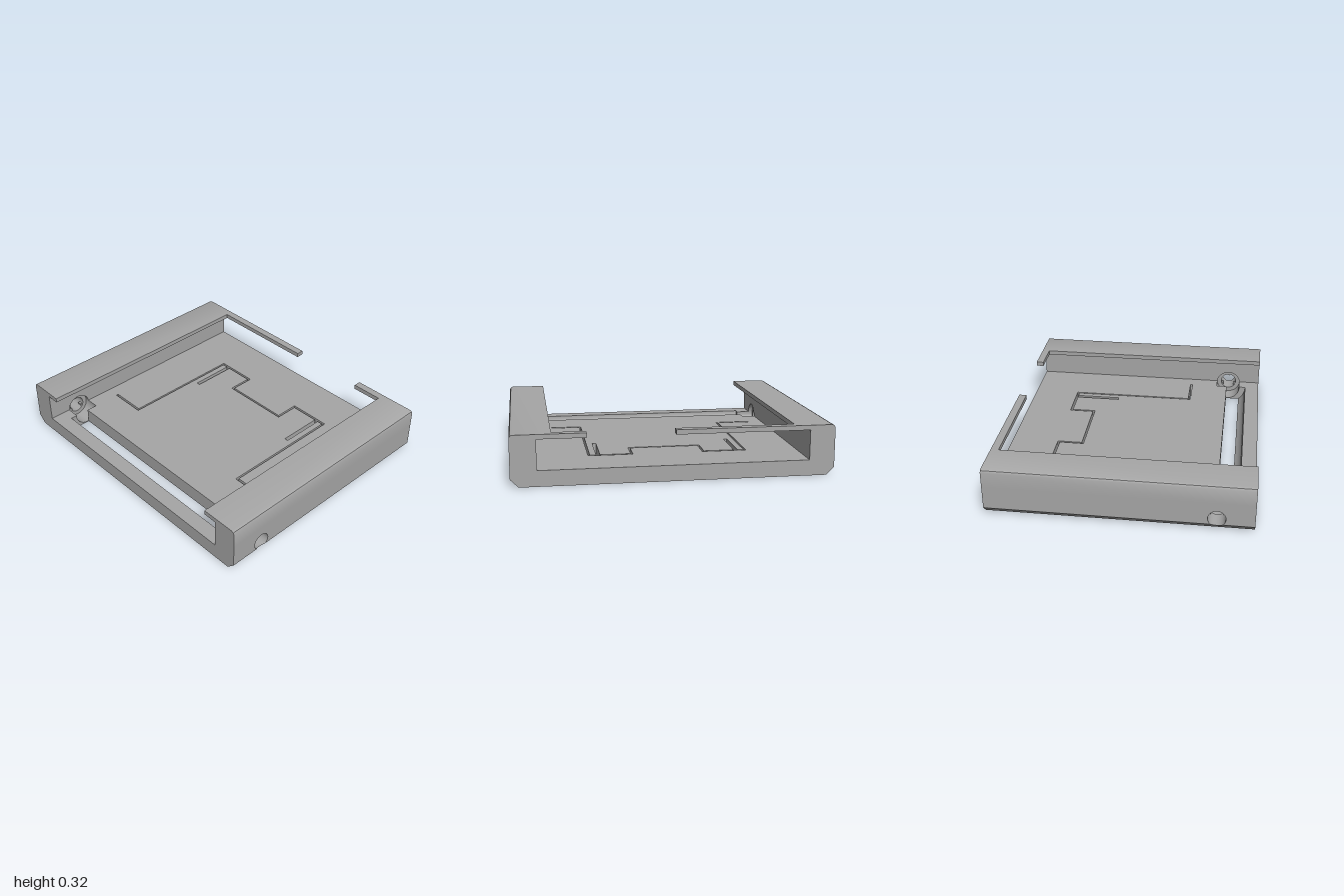
import * as THREE from 'three';
import { toCreasedNormals } from 'three/addons/utils/BufferGeometryUtils.js';

const HALF = 0.83;            // half depth of the tray
const PZ = 0.6, PY = 0.09;    // pivot hole centre

const toShape = pts => new THREE.Shape(pts.map(p => new THREE.Vector2(p[0], p[1])));
const extrude = (shape, depth) => new THREE.ExtrudeGeometry(shape, { depth, bevelEnabled: false, curveSegments: 8 });

// profile given as (z, y), extruded from x0 to x1
function alongX(pts, x0, x1) {
  return extrude(toShape(pts.map(([z, y]) => [-z, y])), x1 - x0).rotateY(Math.PI / 2).translate(x0, 0, 0);
}

// plan given as (x, z), extruded from y0 to y1
function slab(pts, y0, y1) {
  return extrude(toShape(pts.map(([x, z]) => [x, -z])), y1 - y0).rotateX(-Math.PI / 2).translate(0, y0, 0);
}

// copy reflected in x with the winding kept outward
function mirrorX(geo) {
  const g = geo.clone().toNonIndexed();
  const p = g.attributes.position;
  for (let i = 0; i < p.count; i += 3) {
    const v = [0, 2, 1].map(k => new THREE.Vector3().fromBufferAttribute(p, i + k));
    v.forEach((a, k) => p.setXYZ(i + k, -a.x, a.y, a.z));
  }
  g.computeVertexNormals();
  return g;
}

// two halves of a wall layer, cut by the pivot hole of radius r
function holedLayer(y0, y1, r, x0, x1) {
  const ys = [y1];
  for (let i = 0; i <= 24; i++) {
    const y = PY + r * Math.sin(Math.PI / 2 - (i / 24) * Math.PI);
    if (y < y1 - 1e-4 && y > y0 + 1e-4) ys.push(y);
  }
  ys.push(y0);
  const halfWidth = y => Math.sqrt(Math.max(0, r * r - (y - PY) ** 2));
  return [-1, 1].map(s => alongX(
    [[s * HALF, y0], [s * HALF, y1], ...ys.map(y => [PZ + s * halfWidth(y), y])], x0, x1));
}

export function createModel() {
  const group = new THREE.Group();
  const grey = new THREE.MeshStandardMaterial({ color: 0xa6a6a6 });
  grey.name = 'grey plastic';

  const add = (name, geo) => {
    const mesh = new THREE.Mesh(toCreasedNormals(geo, 0.5), grey);
    mesh.name = name;
    group.add(mesh);
  };
  const addPair = (name, geo) => {
    add(name + 'Left', geo);
    add(name + 'Right', mirrorX(geo));
  };

  // upper side rails with the overhanging lip and eased outer edge
  const rail = toShape([[0.84, 0.2], [1, 0.2], [1, 0.3], [0.994, 0.314], [0.98, 0.32],
    [0.75, 0.32], [0.75, 0.29], [0.84, 0.29]]);
  addPair('sideRail', extrude(rail, 2 * HALF).translate(0, 0, -HALF));

  // side walls with the pivot hole and its wider inner recess
  const R = 0.055, WIDE = 0.085, STEP = 0.87;
  const layers = [
    ...holedLayer(0.1, 0.2, WIDE, 0.84, STEP), ...holedLayer(0.1, 0.2, R, STEP, 1),
    ...holedLayer(0.05, 0.1, WIDE, 0.75, STEP), ...holedLayer(0.05, 0.1, R, STEP, 1),
    ...holedLayer(0, 0.05, WIDE, 0.75, STEP),
  ];
  layers.forEach(g => addPair('sideWall', g));

  // chamfered bottom edge
  holedLayer(0, 0.05, R, STEP, 1).forEach(g => {
    const p = g.attributes.position;
    for (let i = 0; i < p.count; i++) if (p.getX(i) > 0.99) p.setX(i, 0.95 + p.getY(i));
    g.computeVertexNormals();
    addPair('chamferedEdge', g);
  });

  // small nubs inside the pivot hole
  for (const a of [90, 210, 330]) {
    const t = a * Math.PI / 180;
    addPair('pivotNub', new THREE.BoxGeometry(0.03, 0.012, 0.014)
      .translate(0.89, PY + Math.sin(t) * 0.051, PZ + Math.cos(t) * 0.051));
  }

  // fixed floor around the flap
  const symmetric = half => [...half, ...half.slice().reverse().map(([x, z]) => [-x, z])];
  add('floorFrame', slab(symmetric([[0.225, -0.355], [0.225, -0.52], [0.512, -0.52],
    [0.512, 0.315], [0.75, 0.315], [0.75, -HALF]]), 0, 0.1));

  // hinged flap with a relief slot beside each latch arm
  add('flap', slab(symmetric([[0.238, -0.342], [0.238, -0.505], [0.435, -0.505], [0.435, -0.2],
    [0.46, -0.2], [0.46, -0.505], [0.5, -0.505], [0.5, 0.33], [0.75, 0.33], [0.75, 0.59]]), 0, 0.1));

  // latch bumps on the arms
  addPair('latchBump', new THREE.CylinderGeometry(0.016, 0.028, 0.02, 20)
    .rotateZ(-Math.PI / 2).translate(0.508, 0.05, -0.457));

  // front bar with a hollow back face swept around the pivot
  const bar = [[HALF, 0], [HALF, 0.1]];
  for (let i = 0; i <= 8; i++) {
    const y = 0.1 - i * 0.0125;
    bar.push([0.6 + Math.sqrt(0.0169 - (0.1 - y) ** 2) , y]);
  }
  add('frontBar', alongX(bar, -0.75, 0.75));

  // stop bars at the back, leaving an off-centre gap
  for (const [name, x0, x1] of [['backStopLong', -0.75, 0], ['backStopShort', 0.54, 0.75]]) {
    add(name, new THREE.BoxGeometry(x1 - x0, 0.03, 0.05).translate((x0 + x1) / 2, 0.305, -HALF + 0.025));
  }
  return group;
}
